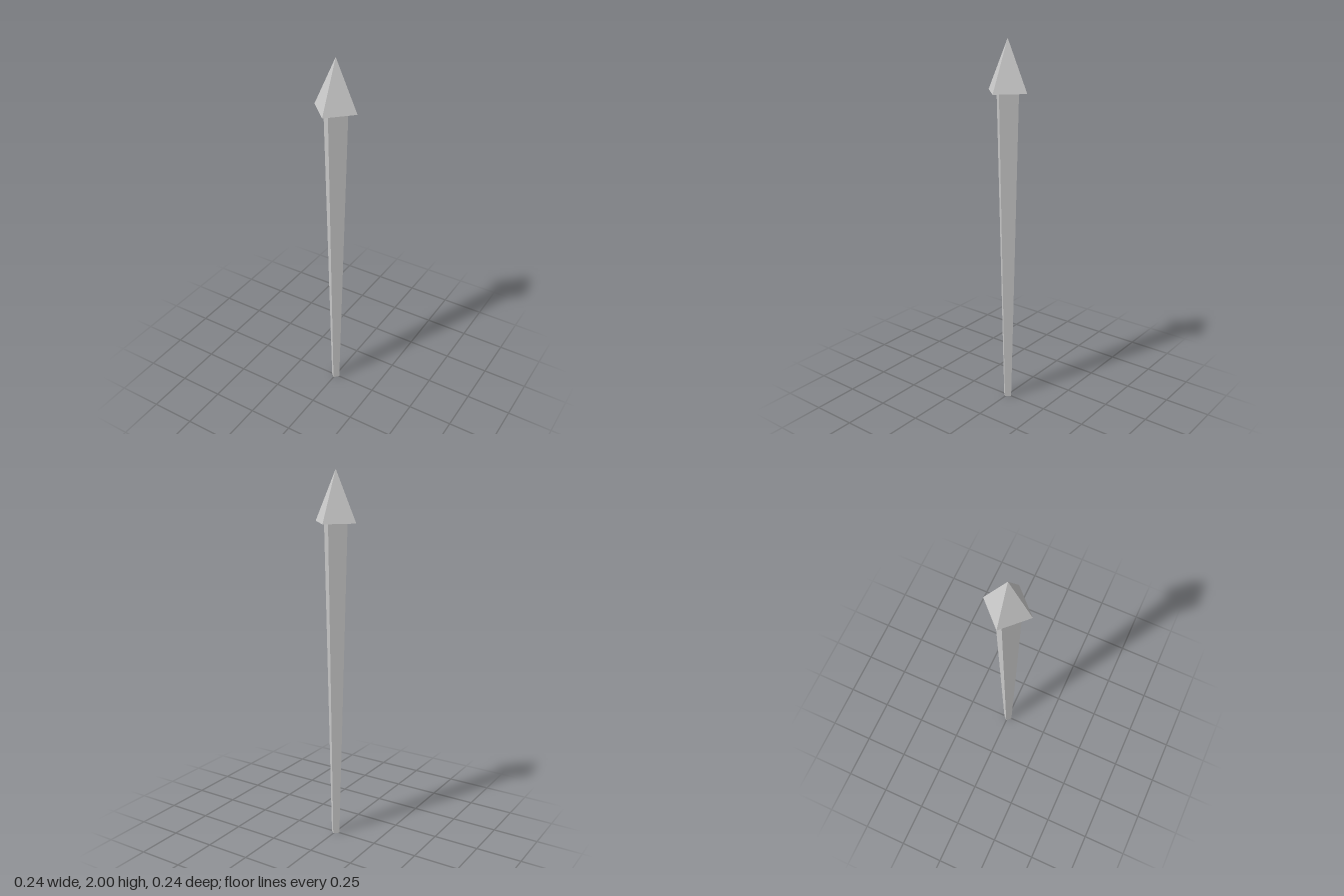
import * as THREE from 'three';

const HEAD_BASE = 1.737; // height where the shaft meets the head

export function createModel() {
  const group = new THREE.Group();
  const material = new THREE.MeshStandardMaterial({ color: 0xcccccc, flatShading: true });

  // Four-sided part with its corners on the x and z axes
  const addPart = (name, topRadius, bottomRadius, y0, y1) => {
    const geometry = new THREE.CylinderGeometry(topRadius, bottomRadius, y1 - y0, 4);
    geometry.translate(0, (y0 + y1) / 2, 0);
    const mesh = new THREE.Mesh(geometry, material);
    mesh.name = name;
    group.add(mesh);
  };

  // Shaft, narrowing towards the ground
  addPart('shaft', 0.071, 0.025, 0, HEAD_BASE);
  // Pyramid head with a flat underside
  addPart('head', 0, 0.122, HEAD_BASE, 2);

  return group;
}
